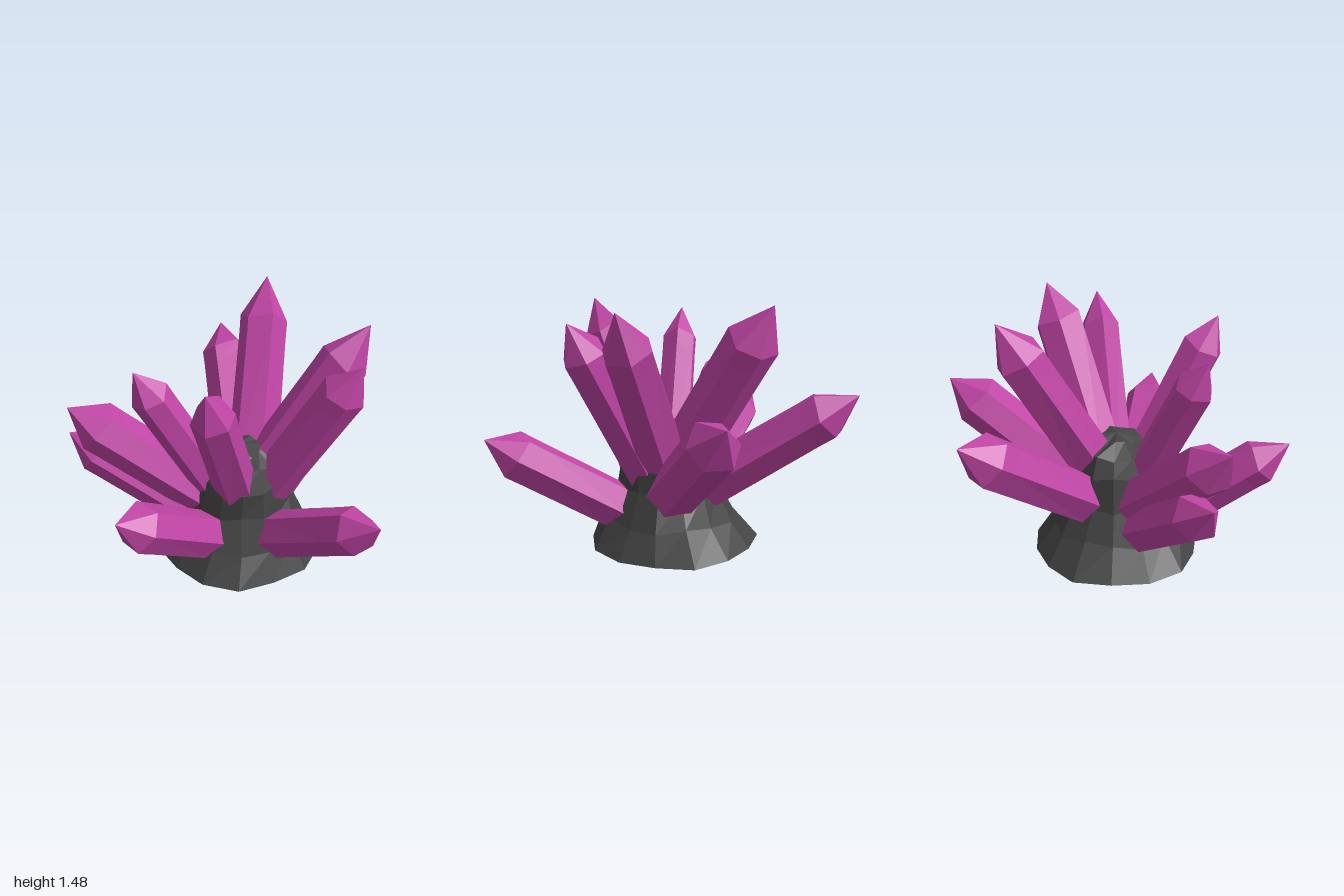
import * as THREE from 'three';

const crystalMat = new THREE.MeshStandardMaterial({ color: 0xc045a5 });
crystalMat.name = 'magenta crystal';
const rockMat = new THREE.MeshStandardMaterial({ color: 0x444444 });
rockMat.name = 'dark rock';

// Faceted solid from stacked rings, closed by a point at each end
function facetedLoft(rings, bottom, top) {
  const pos = [];
  const tri = (...pts) => pts.forEach((p) => pos.push(p.x, p.y, p.z));
  const n = rings[0].length;
  for (let i = 0; i < n; i++) {
    const j = (i + 1) % n;
    tri(bottom, rings[0][j], rings[0][i]);
    for (let k = 0; k < rings.length - 1; k++) {
      const a = rings[k], b = rings[k + 1];
      tri(a[i], b[j], b[i]);
      tri(a[i], a[j], b[j]);
    }
    tri(rings[rings.length - 1][i], rings[rings.length - 1][j], top);
  }
  const geo = new THREE.BufferGeometry();
  geo.setAttribute('position', new THREE.Float32BufferAttribute(pos, 3));
  geo.computeVertexNormals(); // unshared corners give flat facets
  return geo;
}

// Ring of points around y; angle runs so that outward faces wind correctly
function ring(n, fn) {
  return Array.from({ length: n }, (_, i) => {
    const { r, y, turn = 0, x = 0, z = 0 } = fn(i);
    const a = (i / n) * Math.PI * 2 + turn;
    return new THREE.Vector3(x + r * Math.sin(a), y, z + r * Math.cos(a));
  });
}

// Six-sided crystal from a buried foot to a pointed tip
function crystal(tip, foot, radius, cone, vertexOut) {
  const t = new THREE.Vector3(...tip);
  const f = new THREE.Vector3(...foot);
  const axis = t.clone().sub(f).normalize();
  f.addScaledVector(axis, -0.06);
  const len = t.distanceTo(f);
  const side = new THREE.Vector3(t.z, 0, -t.x).normalize();
  const out = side.clone().cross(axis).normalize();
  const turn = vertexOut ? 0 : Math.PI / 6;

  const hex = (r, y, jag = 0) => ring(6, (i) => ({
    r: r * (1 + (jag ? 0.04 * Math.cos(i * 2.1) : 0)), y: y + jag * Math.sin(i * 2.4 + 0.5), turn }));
  const geo = facetedLoft(
    [hex(radius * 1.04, 0), hex(radius * 0.99, len - cone - 0.1, 0.03), hex(radius, len - cone, 0.02)],
    new THREE.Vector3(0, 0, 0), new THREE.Vector3(0, len, 0));
  geo.applyMatrix4(new THREE.Matrix4().makeBasis(side, axis, out).setPosition(f));
  geo.computeVertexNormals();
  return new THREE.Mesh(geo, crystalMat);
}

// Craggy stump: [height, radius, centre x, centre z]
function rock() {
  const profile = [
    [0, 0.5, -0.03, -0.015], [0.17, 0.385, -0.01, -0.01], [0.36, 0.295, -0.01, -0.01],
    [0.54, 0.275, 0, -0.01], [0.65, 0.225, 0, -0.01], [0.71, 0.12, 0, -0.01],
  ];
  const rings = profile.map(([y, r, x, z], k) => ring(14, (i) => ({
    r: r * (1 + 0.035 * Math.sin(i * 2.3 + k * 1.7)),
    y: k ? y + 0.018 * Math.sin(i * 1.9 + k * 2.6) : 0, x, z })));
  return new THREE.Mesh(
    facetedLoft(rings, new THREE.Vector3(-0.03, 0, -0.015), new THREE.Vector3(0, 0.73, -0.01)), rockMat);
}

export function createModel() {
  const model = new THREE.Group();
  model.name = 'crystalCluster';

  const base = rock();
  base.name = 'rockBase';
  model.add(base);

  // tip, foot, radius, point length, whether an edge faces outward
  const crystals = {
    lowLeftCrystal: [[0.99, 0.71, 0.4], [0.31, 0.25, 0.13], 0.138, 0.2, false],
    lowFrontCrystal: [[-0.28, 0.71, 0.96], [-0.1, 0.25, 0.33], 0.138, 0.2, false],
    lowRightCrystal: [[-1, 0.71, 0.32], [-0.32, 0.25, 0.1], 0.138, 0.2, false],
    midRightCrystal: [[-0.91, 0.97, 0.43], [-0.26, 0.4, 0.1], 0.148, 0.22, false],
    midBackRightCrystal: [[-0.6, 0.97, -0.93], [-0.13, 0.39, -0.24], 0.148, 0.22, false],
    midBackLeftCrystal: [[0.42, 0.97, -0.96], [0.14, 0.39, -0.24], 0.148, 0.22, false],
    tallLeftCrystal: [[0.62, 1.48, -0.34], [0.12, 0.55, -0.1], 0.148, 0.25, false],
    tallBackCrystal: [[-0.16, 1.48, -0.69], [0, 0.55, -0.15], 0.148, 0.25, false],
    upperLeftCrystal: [[0.7, 1.39, -0.02], [0.19, 0.5, -0.01], 0.125, 0.21, true],
    upperFrontCrystal: [[0.08, 1.39, 0.6], [0.03, 0.52, 0.15], 0.125, 0.21, true],
    upperRightCrystal: [[-0.46, 1.3, 0.41], [-0.15, 0.52, 0.13], 0.112, 0.19, true],
  };
  for (const [name, spec] of Object.entries(crystals)) {
    const mesh = crystal(...spec);
    mesh.name = name;
    model.add(mesh);
  }
  return model;
}
